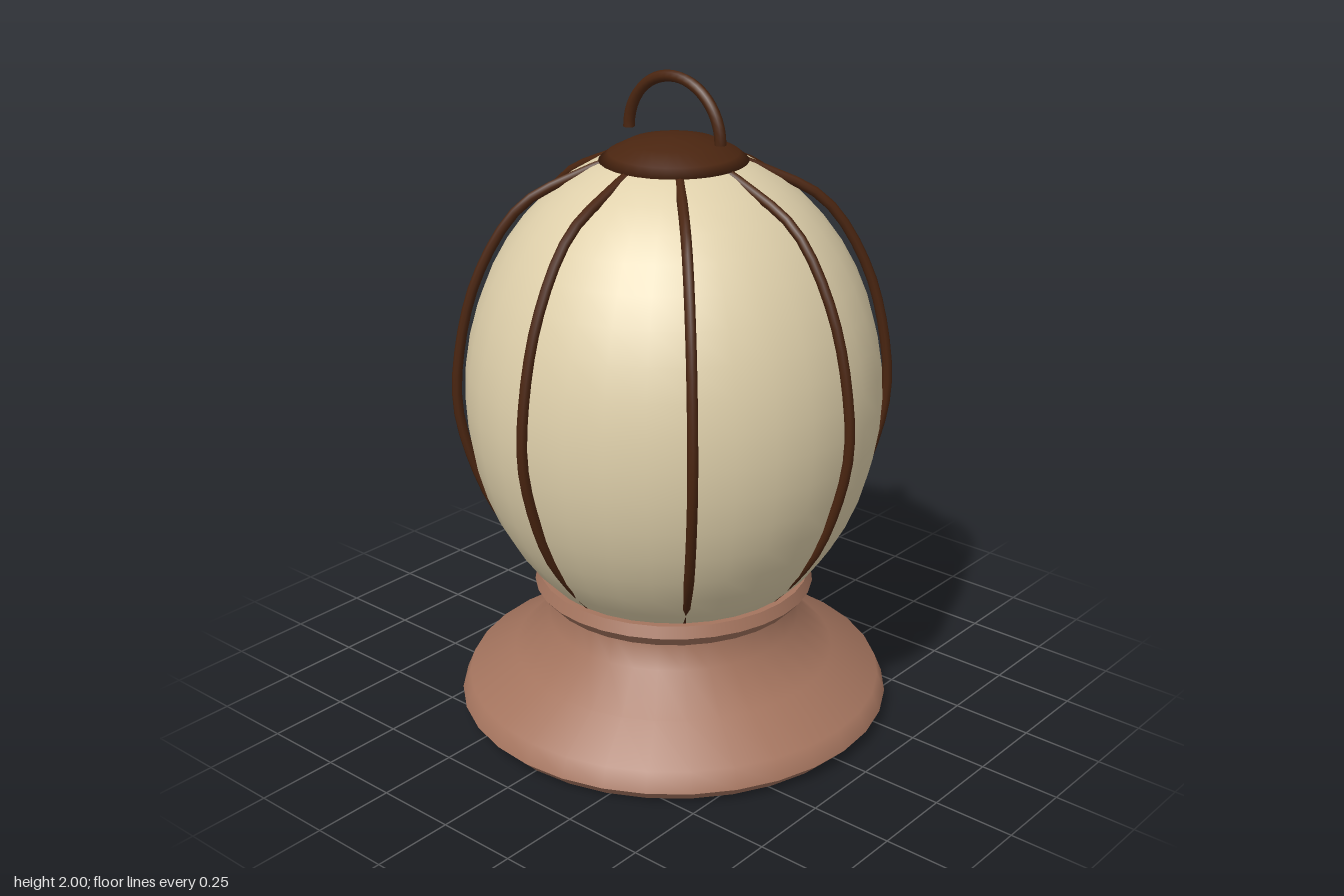
import * as THREE from 'three';

const paint = (name, color) => {
  const m = new THREE.MeshStandardMaterial({ color });
  m.name = name;
  return m;
};

// Turned part; a repeated point makes a sharp edge
const lathe = (pts) =>
  new THREE.LatheGeometry(pts.map(([r, y]) => new THREE.Vector2(r, y)), 32);

export function createModel() {
  const model = new THREE.Group();
  model.name = 'lantern';
  const clay = paint('clay brown', 0xa4745e);
  const cream = paint('cream glass', 0xdfd0ab);
  const dark = paint('dark brown', 0x4a2510);

  const add = (name, geometry, material, parent = model) => {
    const mesh = new THREE.Mesh(geometry, material);
    mesh.name = name;
    parent.add(mesh);
    return mesh;
  };

  // Flared foot with narrow neck
  add('base', lathe([
    [0, 0], [0.63, 0], [0.63, 0], [0.67, 0.04], [0.67, 0.04], [0.645, 0.1],
    [0.5, 0.18], [0.39, 0.285], [0.38, 0.385],
  ]), clay);

  // Collar that holds the globe
  add('collar', lathe([
    [0.37, 0.378], [0.4, 0.378], [0.4, 0.378], [0.432, 0.415], [0.432, 0.415],
    [0.418, 0.45], [0.418, 0.45], [0, 0.45],
  ]), clay);

  // Egg-shaped globe
  const globe = add('globe', new THREE.SphereGeometry(1, 32, 24), cream);
  globe.scale.set(0.625, 0.755, 0.625);
  globe.position.y = 1.03;

  // Domed cap
  add('cap', lathe([
    [0, 1.715], [0.17, 1.715], [0.17, 1.715], [0.218, 1.742],
    [0.19, 1.765], [0.13, 1.795], [0.06, 1.81], [0, 1.813],
  ]), dark);

  // Eight bent ribs around the globe
  const ribCurve = new THREE.CatmullRomCurve3([
    [0.17, 1.745], [0.26, 1.71], [0.44, 1.615], [0.57, 1.415], [0.637, 1.17],
    [0.645, 0.97], [0.565, 0.7], [0.48, 0.565], [0.38, 0.45],
  ].map(([r, y]) => new THREE.Vector3(r, y, 0)));
  const ribGeometry = new THREE.TubeGeometry(ribCurve, 24, 0.015, 8);
  const ribs = new THREE.Group();
  ribs.name = 'ribs';
  model.add(ribs);
  for (let i = 0; i < 8; i++) {
    add('rib', ribGeometry, dark, ribs).rotation.y = (i * Math.PI) / 4;
  }

  // Half-ring handle with closed ends
  const handle = new THREE.Group();
  handle.name = 'handle';
  handle.position.y = 1.811;
  model.add(handle);
  add('handleRing', new THREE.TorusGeometry(0.172, 0.017, 8, 24, Math.PI), dark, handle);
  for (const side of [-1, 1]) {
    const end = add('handleEnd', new THREE.CircleGeometry(0.017, 8), dark, handle);
    end.rotation.x = Math.PI / 2;
    end.position.x = side * 0.172;
  }
  return model;
}
